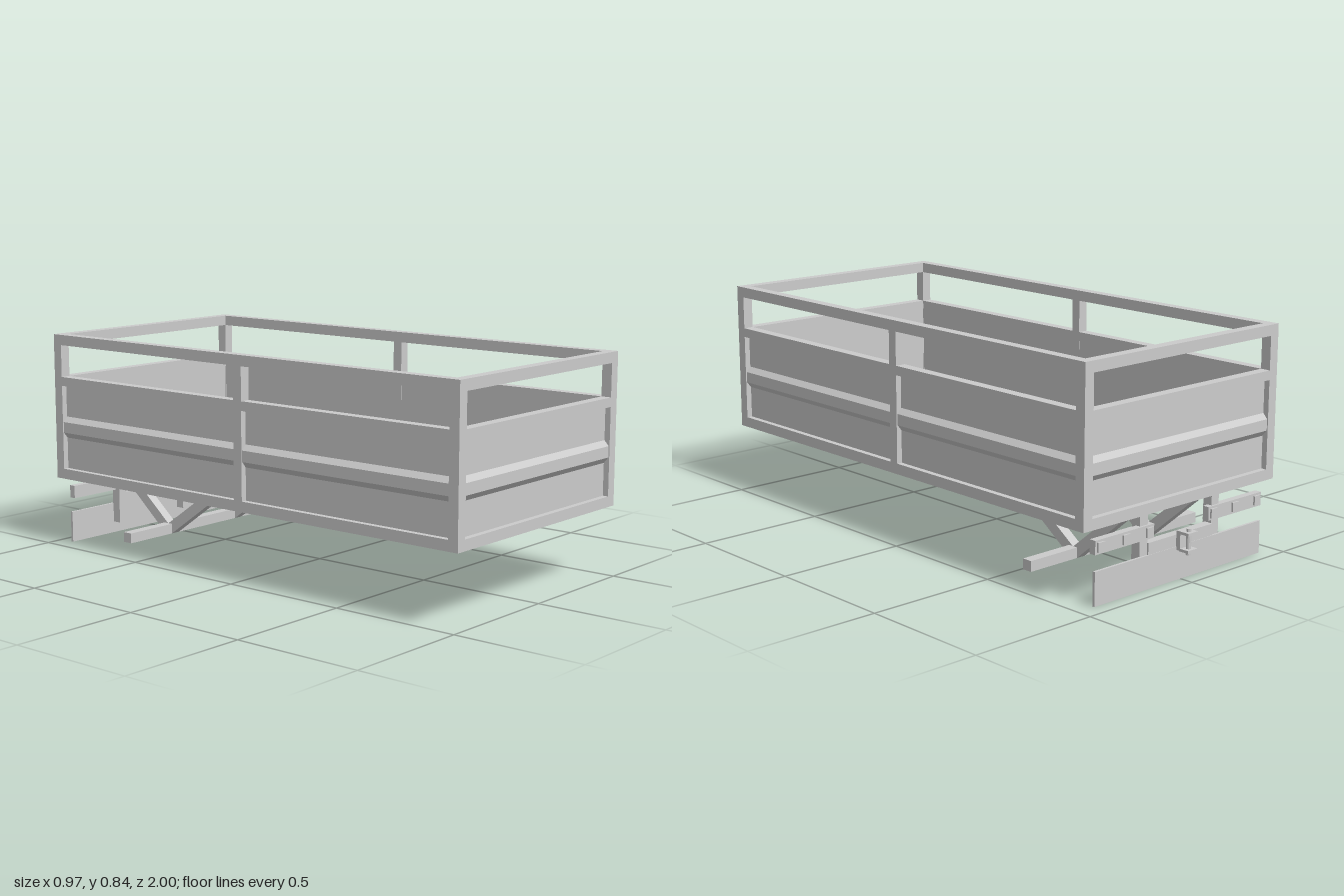
import * as THREE from 'three';

const mat = new THREE.MeshStandardMaterial({ color: 0xcccccc, flatShading: true });

// Box given by its limits on each axis
function box(parent, name, [x0, x1], [y0, y1], [z0, z1]) {
  const m = new THREE.Mesh(new THREE.BoxGeometry(x1 - x0, y1 - y0, z1 - z0), mat);
  m.position.set((x0 + x1) / 2, (y0 + y1) / 2, (z0 + z1) / 2);
  m.name = name;
  parent.add(m);
  return m;
}

// Profile of (z, y) points extruded along x, centred on x = 0
function profile(parent, name, points, length) {
  const shape = new THREE.Shape(points.map(([z, y]) => new THREE.Vector2(z, y)));
  const geo = new THREE.ExtrudeGeometry(shape, { depth: length, bevelEnabled: false });
  geo.translate(0, 0, -length / 2).rotateY(-Math.PI / 2);
  const m = new THREE.Mesh(geo, mat);
  m.name = name;
  parent.add(m);
  return m;
}

// Recessed panel with a pressed rib; z = 0 is the outer face of the frame
const panelProfile = [
  [-0.038, 0.31], [-0.022, 0.31], [-0.022, 0.432], [-0.004, 0.454],
  [-0.004, 0.496], [-0.022, 0.516], [-0.022, 0.64], [-0.038, 0.64],
];

// One wall: rails between the corner posts, panels and optional middle post
function wall(name, length, middle) {
  const g = new THREE.Group();
  g.name = name;
  const h = length / 2 - 0.04, d = [-0.04, 0];
  box(g, 'bottomRail', [-h, h], [0.27, 0.31], d);
  box(g, 'middleRail', [-h, h], [0.64, 0.675], d);
  box(g, 'topRail', [-h, h], [0.8, 0.84], d);
  if (middle) {
    box(g, 'middlePostLower', [-0.019, 0.019], [0.31, 0.64], d);
    box(g, 'middlePostUpper', [-0.019, 0.019], [0.675, 0.8], d);
    const len = h - 0.019;
    for (const s of [-1, 1]) profile(g, 'panel', panelProfile, len).position.x = s * (0.019 + len / 2);
  } else profile(g, 'panel', panelProfile, 2 * h);
  return g;
}

export function createModel() {
  const model = new THREE.Group();
  model.name = 'cargoBody';
  const W = 0.485, zF = 1, zB = -0.95, zc = 0.025;

  // Four walls, corner posts and floor
  const front = wall('frontWall', 2 * W, false);
  front.position.z = zF;
  const back = wall('backWall', 2 * W, false);
  back.position.z = zB;
  back.rotation.y = Math.PI;
  model.add(front, back);
  for (const s of [-1, 1]) {
    const side = wall(s > 0 ? 'leftWall' : 'rightWall', zF - zB, true);
    side.position.set(s * W, 0, zc);
    side.rotation.y = s * Math.PI / 2;
    model.add(side);
    const x = s > 0 ? [W - 0.04, W] : [-W, -W + 0.04];
    box(model, 'cornerPost', x, [0.27, 0.84], [zF - 0.04, zF]);
    box(model, 'cornerPost', x, [0.27, 0.84], [zB, zB + 0.04]);
  }
  box(model, 'floor', [-W + 0.04, W - 0.04], [0.271, 0.311], [zB + 0.04, zF - 0.04]);

  // Tapered spine below the floor
  profile(model, 'spine', [[0.5, 0.272], [0.2, 0.23], [-0.6, 0.23], [-0.92, 0.268], [-0.92, 0.272]], 0.37);

  // Front support stub with foot
  box(model, 'supportStub', [-0.02, 0.02], [0.188, 0.272], [0.68, 0.72]);
  box(model, 'supportFoot', [-0.03, 0.03], [0.182, 0.19], [0.67, 0.73]);

  // V braces carrying the cross axle, and rear posts
  for (const s of [-1, 1]) {
    profile(model, 'frontBrace', [[-0.28, 0.272], [-0.6, 0.045], [-0.62, 0.045], [-0.62, 0.083], [-0.35, 0.272]], 0.038).position.x = s * 0.183;
    profile(model, 'rearBrace', [[-0.62, 0.083], [-0.62, 0.045], [-0.64, 0.045], [-0.905, 0.272], [-0.845, 0.272]], 0.038).position.x = s * 0.183;
    const px = s > 0 ? [0.164, 0.202] : [-0.202, -0.164];
    box(model, 'rearPost', px, [0.045, 0.272], [-0.938, -0.9]);

    // Rear light bars with lamps
    const lx = s > 0 ? [0.14, 0.425] : [-0.425, -0.14];
    box(model, 'lightBar', lx, [0.18, 0.23], [-0.946, -0.92]);
    for (const c of [0.165, 0.28, 0.4]) {
      box(model, 'lamp', [s * c - 0.016, s * c + 0.016], [0.188, 0.222], [-0.953, -0.94]);
    }
  }
  box(model, 'crossAxle', [-0.425, 0.425], [0.045, 0.084], [-0.64, -0.6]);

  // Rear guard
  box(model, 'guardPlate', [-0.425, 0.425], [0, 0.122], [-0.946, -0.936]);
  box(model, 'guardBeam', [-0.165, 0.165], [0.122, 0.165], [-0.944, -0.91]);

  // Rear coupling: jaw plates, neck and pin
  box(model, 'couplingBase', [-0.024, 0.024], [0.11, 0.18], [-0.962, -0.944]);
  for (const y of [0.108, 0.17]) box(model, 'couplingJaw', [-0.024, 0.024], [y, y + 0.01], [-1, -0.958]);
  const pin = new THREE.Mesh(new THREE.CylinderGeometry(0.009, 0.009, 0.095, 10), mat);
  pin.position.set(0, 0.143, -0.98);
  pin.name = 'couplingPin';
  model.add(pin);

  return model;
}
